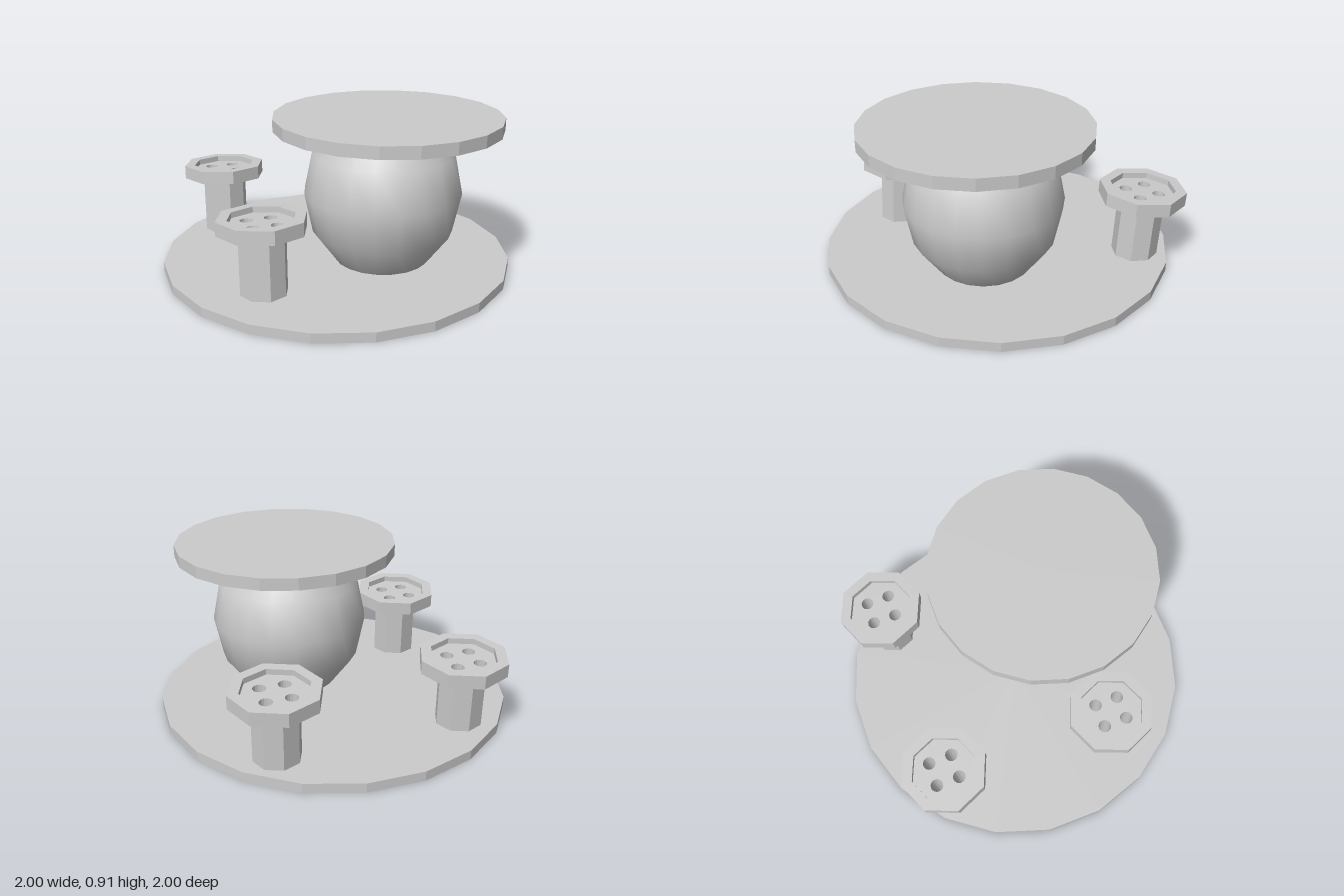
import * as THREE from 'three';

const flat = new THREE.MeshStandardMaterial({ color: 0xcccccc, flatShading: true });
const thin = new THREE.MeshStandardMaterial({ color: 0xcccccc, flatShading: true, side: THREE.DoubleSide });
const smooth = new THREE.MeshStandardMaterial({ color: 0xcccccc });
const TURN = 0.026;

function add(parent, name, geometry, material = flat) {
  const mesh = new THREE.Mesh(geometry, material);
  mesh.name = name;
  parent.add(mesh);
  return mesh;
}

function polygon(radius, sides, cx = 0, cy = 0) {
  return Array.from({ length: sides }, (_, i) => {
    const a = (i / sides) * Math.PI * 2;
    return new THREE.Vector2(cx + radius * Math.cos(a), cy + radius * Math.sin(a));
  });
}

// Octagonal slab between two heights, with holes cut through it
function slab(radius, y0, y1, holes) {
  const shape = new THREE.Shape(polygon(radius, 8));
  shape.holes = holes.map((points) => new THREE.Path(points));
  const g = new THREE.ExtrudeGeometry(shape, { depth: y1 - y0, bevelEnabled: false });
  return g.rotateX(-Math.PI / 2).translate(0, y0, 0);
}

// Upright cylinder between two heights, optionally an open tube
function column(radius, y0, y1, sides, open = false) {
  return new THREE.CylinderGeometry(radius, radius, y1 - y0, sides, 1, open).translate(0, (y0 + y1) / 2, 0);
}

// Stool: hollow octagonal leg and a dished seat, four bores running through both
function createStool() {
  const stool = new THREE.Group();
  stool.name = 'stool';
  const bores = [];
  for (const sx of [-1, 1]) {
    for (const sz of [-1, 1]) {
      bores.push(polygon(0.035, 16, sx * 0.065, sz * 0.065));
      add(stool, 'stoolBore', column(0.035, 0.008, 0.392, 16, true), thin).position.set(sx * 0.065, 0, sz * 0.065);
    }
  }
  add(stool, 'stoolLeg', column(0.13, 0.008, 0.392, 8, true), thin);
  add(stool, 'stoolSeat', slab(0.243, 0.392, 0.436, bores));
  add(stool, 'stoolRim', slab(0.243, 0.436, 0.468, [polygon(0.183, 8)]));
  return stool;
}

export function createModel() {
  const model = new THREE.Group();
  model.name = 'tableWithStools';

  // Base: a shallow tray, open underneath
  const base = new THREE.Group();
  base.name = 'base';
  base.rotation.y = TURN;
  add(base, 'baseRim', column(1, 0, 0.054, 20, true), thin);
  add(base, 'baseTop', new THREE.CircleGeometry(1, 20).rotateX(-Math.PI / 2).translate(0, 0.054, 0), thin);
  model.add(base);

  // Table top
  const top = add(model, 'tableTop', column(0.627, 0.843, 0.91, 20));
  top.position.set(0.25, 0, 0.195);
  top.rotation.y = TURN;

  // Round table body, truncated at both ends
  const body = new THREE.Group();
  body.name = 'tableBody';
  body.position.set(0.238, 0, 0.153);
  const profile = [[0.268, 0.066], [0.397, 0.242], [0.443, 0.465], [0.397, 0.688], [0.268, 0.85]]
    .map(([r, y]) => new THREE.Vector2(r, y));
  add(body, 'bodyShell', new THREE.LatheGeometry(profile, 20), smooth);
  add(body, 'bodyUnderside', new THREE.CircleGeometry(0.268, 20).rotateX(Math.PI / 2).translate(0, 0.066, 0));
  model.add(body);

  // Three stools leaning slightly backwards
  for (const [x, z] of [[-0.625, -0.484], [0.385, -0.709], [-0.464, 0.487]]) {
    const stool = createStool();
    stool.position.set(x, 0, z);
    stool.rotation.set(-0.052, 0.19, 0);
    model.add(stool);
  }
  return model;
}
